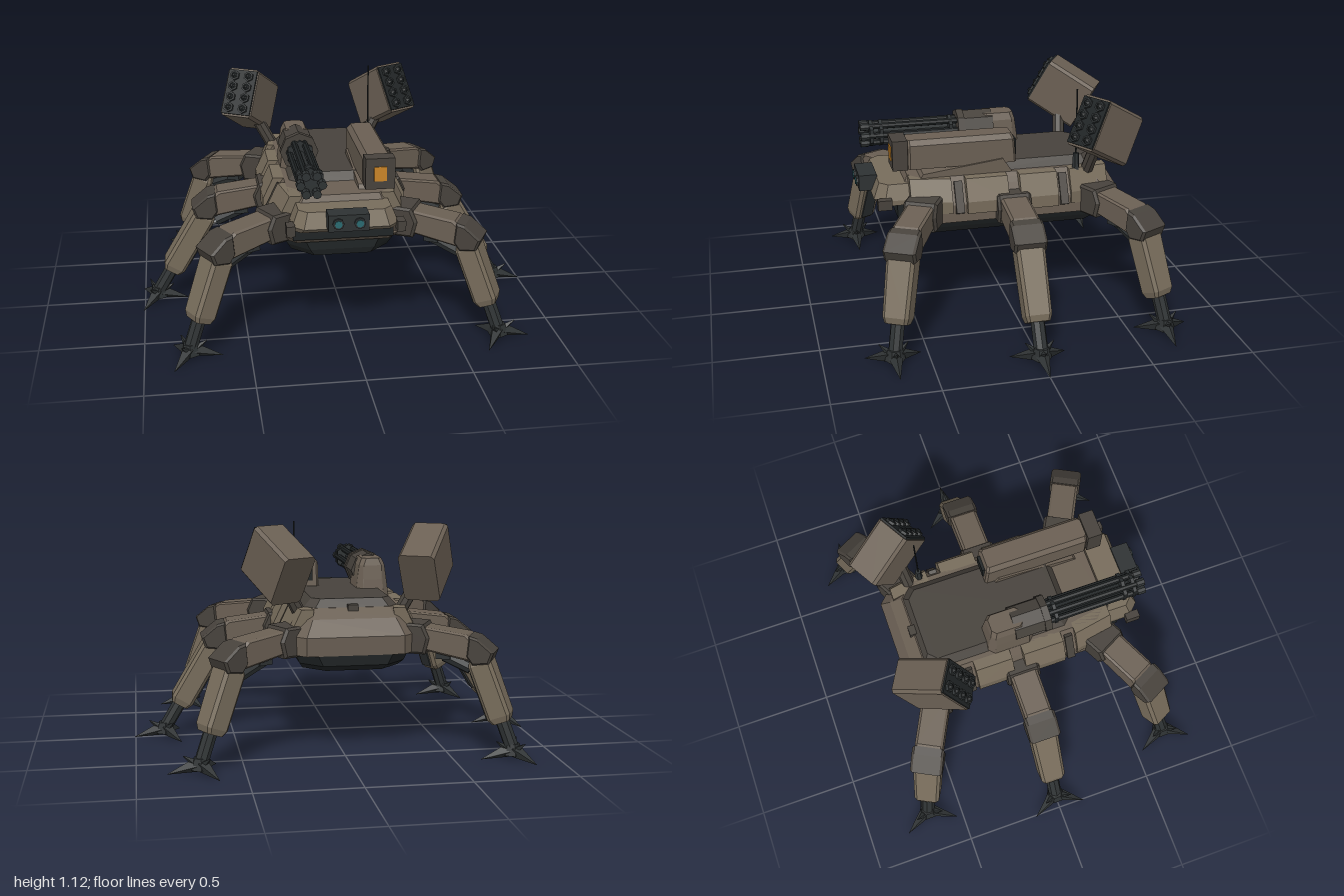
import * as THREE from 'three';
import { ConvexGeometry } from 'three/addons/geometries/ConvexGeometry.js';

const material = (color) => new THREE.MeshStandardMaterial({ color, flatShading: true, side: THREE.DoubleSide });
const brown = material(0x6a5f53), tan = material(0x776c5b), umber = material(0x47423c), dark = material(0x2e3233);
const black = material(0x202425), steel = material(0x8a8c8c), orange = material(0xc98528), teal = material(0x2a6a70);
const V = (x, y, z) => new THREE.Vector3(x, y, z);

function add(parent, name, geometry, mat, x = 0, y = 0, z = 0) {
  const mesh = new THREE.Mesh(geometry, mat);
  mesh.name = name;
  mesh.position.set(x, y, z);
  parent.add(mesh);
  return mesh;
}

function group(parent, name, x = 0, y = 0, z = 0) {
  const g = new THREE.Group();
  g.name = name;
  g.position.set(x, y, z);
  parent.add(g);
  return g;
}

// Solid through chamfered rectangles; level = [y, halfWidth, zFront, zBack, chamfer]
function loft(levels) {
  const points = [];
  for (const [y, w, f, b, c] of levels)
    for (const s of [-1, 1])
      points.push(V(s * (w - c), y, f), V(s * w, y, f - c), V(s * w, y, b + c), V(s * (w - c), y, b));
  return new ConvexGeometry(points);
}

// Convex side profile in x-y, given a width along z and narrowed edges
function slab(profile, halfZ, inset = 0.012) {
  const cx = profile.reduce((t, p) => t + p[0], 0) / profile.length;
  const cy = profile.reduce((t, p) => t + p[1], 0) / profile.length;
  const points = [];
  for (const [x, y] of profile)
    for (const s of [-1, 1]) {
      points.push(V(x, y, s * (halfZ - inset)));
      points.push(V(x + (cx - x) * 0.15, y + (cy - y) * 0.15, s * halfZ));
    }
  return new ConvexGeometry(points);
}

const box = (w, h, d) => new THREE.BoxGeometry(w, h, d);

// Rod between two points, optionally tapered
function rod(parent, name, a, b, r, mat, sides = 8, rEnd = r) {
  const mesh = add(parent, name, new THREE.CylinderGeometry(rEnd, r, a.distanceTo(b), sides), mat);
  mesh.position.copy(a).lerp(b, 0.5);
  mesh.quaternion.setFromUnitVectors(V(0, 1, 0), b.clone().sub(a).normalize());
  return mesh;
}

function buildHull(root) {
  const hull = group(root, 'hull');
  add(hull, 'upperHull', loft([[0.51, 0.325, 0.53, -0.56, 0.09], [0.6, 0.325, 0.53, -0.565, 0.09], [0.68, 0.28, 0.52, -0.52, 0.08], [0.725, 0.25, 0.5, -0.46, 0.07]]), brown);
  add(hull, 'lowerHull', loft([[0.428, 0.235, 0.52, -0.5, 0.1], [0.46, 0.255, 0.53, -0.55, 0.1], [0.515, 0.28, 0.53, -0.555, 0.1]]), black);
  add(hull, 'deckPlate', loft([[0.715, 0.235, 0.32, -0.46, 0.05], [0.765, 0.19, 0.28, -0.43, 0.04]]), umber);
  add(hull, 'bellySensor', new THREE.CylinderGeometry(0.055, 0.055, 0.04, 10), dark, 0, 0.415, 0);
  add(hull, 'rearHatch', box(0.05, 0.03, 0.04), umber, 0, 0.725, -0.46);

  // Side armour panels [zFront, zBack, x at front, x at back] and the ribs between them
  for (const s of [-1, 1]) {
    for (const [a, b, xa, xb] of [[0.5, 0.3, 0.3, 0.335], [0.23, 0.02, 0.353, 0.353], [-0.04, -0.23, 0.353, 0.353], [-0.3, -0.5, 0.335, 0.3]]) {
      const points = [];
      for (const [dx, y] of [[-0.08, 0.56], [0, 0.56], [0, 0.62], [-0.05, 0.725], [-0.11, 0.725]])
        points.push(V(s * (xa + dx), y, a), V(s * (xb + dx), y, b));
      add(hull, 'sidePanel', new ConvexGeometry(points), tan);
    }
    for (const z of [0.265, -0.265]) {
      const rib = add(hull, 'sideRib', box(0.04, 0.16, 0.04), umber, s * 0.3, 0.63, z);
      rib.rotation.z = s * 0.45;
    }
  }

  // Nose with slot, bumper, lamps and twin camera box
  add(hull, 'nose', loft([[0.595, 0.25, 0.64, 0.4, 0.04], [0.62, 0.25, 0.67, 0.4, 0.05], [0.695, 0.22, 0.64, 0.4, 0.04]]), tan);
  add(hull, 'noseSlot', box(0.48, 0.07, 0.1), black, 0, 0.56, 0.51);
  add(hull, 'bumper', loft([[0.505, 0.28, 0.54, 0.4, 0.06], [0.53, 0.29, 0.56, 0.4, 0.06]]), brown);
  for (const s of [-1, 1]) add(hull, 'sideLamp', box(0.04, 0.05, 0.07), umber, s * 0.26, 0.61, 0.625);
  add(hull, 'cameraBox', box(0.19, 0.08, 0.09), dark, 0, 0.667, 0.683);
  for (const s of [-1, 1]) {
    rod(hull, 'cameraBarrel', V(s * 0.05, 0.667, 0.7), V(s * 0.05, 0.667, 0.738), 0.027, dark, 8);
    rod(hull, 'cameraLens', V(s * 0.05, 0.667, 0.737), V(s * 0.05, 0.667, 0.742), 0.018, teal, 8);
  }
}

function buildRotaryGun(root) {
  const gun = group(root, 'rotaryGun', -0.165, 0.84, 0);
  add(gun, 'gunMount', loft([[-0.12, 0.085, 0.1, -0.14, 0.03], [-0.03, 0.075, 0.1, -0.13, 0.03], [0.04, 0.065, 0.07, -0.12, 0.02], [0.075, 0.05, 0.05, -0.11, 0.02]]), brown);
  rod(gun, 'gunDrum', V(0, 0, 0), V(0, 0, 0.15), 0.088, umber, 8);
  rod(gun, 'drumCollar', V(0, 0, 0.15), V(0, 0, 0.185), 0.095, umber, 8);
  rod(gun, 'spindle', V(0, 0, 0.15), V(0, 0, 0.64), 0.02, dark, 6);
  for (let i = 0; i < 6; i++) {
    const a = i * Math.PI / 3, x = Math.cos(a) * 0.05, y = Math.sin(a) * 0.05;
    rod(gun, 'barrel', V(x, y, 0.15), V(x, y, 0.665), 0.016, black);
    rod(gun, 'muzzle', V(x, y, 0.645), V(x, y, 0.685), 0.021, dark);
  }
  for (const z of [0.21, 0.57, 0.62]) rod(gun, 'barrelClamp', V(0, 0, z), V(0, 0, z + 0.018), 0.07, dark, 6);
}

function buildSensorPod(root) {
  const pod = group(root, 'sensorPod', 0.17, 0, 0);
  const wedge = [];
  for (const x of [-0.08, 0.08]) wedge.push(V(x, 0.7, 0.46), V(x, 0.745, 0.43), V(x, 0.795, 0.03), V(x, 0.72, -0.02));
  add(pod, 'podBase', new ConvexGeometry(wedge), brown);
  add(pod, 'podBody', loft([[0.77, 0.07, 0.5, -0.04, 0.01], [0.89, 0.07, 0.5, -0.03, 0.01], [0.915, 0.05, 0.5, -0.02, 0.01]]), brown);
  add(pod, 'podRearPanel', box(0.08, 0.08, 0.02), black, 0, 0.84, -0.035);
  add(pod, 'podHead', box(0.14, 0.15, 0.075), umber, 0, 0.845, 0.54);
  add(pod, 'podWindow', box(0.06, 0.07, 0.012), orange, 0, 0.845, 0.577);
}

function buildLauncher(root, s) {
  const launcher = group(root, 'missileLauncher', s * 0.36, 0.94, -0.455);
  launcher.rotation.set(-0.51, s * 0.52, 0, 'YXZ');
  const halfW = 0.088, halfH = 0.13, c = 0.015, points = [];
  for (const z of [-0.142, 0.132])
    for (const sx of [-1, 1])
      for (const sy of [-1, 1]) points.push(V(sx * (halfW - c), sy * halfH, z), V(sx * halfW, sy * (halfH - c), z));
  add(launcher, 'launcherCase', new ConvexGeometry(points), brown);
  add(launcher, 'launcherFace', box(0.162, 0.24, 0.016), black, 0, 0, 0.134);
  for (const x of [-0.04, 0.04])
    for (const y of [-0.087, -0.029, 0.029, 0.087]) {
      rod(launcher, 'launchTube', V(x, y, 0.13), V(x, y, 0.155), 0.027, dark, 6);
      rod(launcher, 'missileTip', V(x, y, 0.155), V(x, y, 0.165), 0.018, black, 6, 0.006);
    }
  rod(root, 'launcherPost', V(s * 0.25, 0.7, -0.4), V(s * 0.33, 0.85, -0.42), 0.032, umber);
}

// Leg reaches out along its local x axis from the hip
function buildLeg(root, x, z, yaw, hipInner, shinTilt) {
  const leg = group(root, 'leg', x, 0, z);
  leg.rotation.y = yaw;
  add(leg, 'hip', slab([[hipInner, 0.65], [0.03, 0.645], [0.06, 0.58], [0.04, 0.5], [hipInner, 0.5]], 0.085), umber);
  add(leg, 'upperArm', slab([[0, 0.635], [0.24, 0.605], [0.29, 0.56], [0.26, 0.475], [0.02, 0.52]], 0.07), brown);
  add(leg, 'knee', slab([[0.25, 0.6], [0.29, 0.59], [0.37, 0.525], [0.35, 0.47], [0.27, 0.46], [0.24, 0.5]], 0.08), umber);
  const shin = group(leg, 'shin', 0.28, 0.52, 0);
  shin.rotation.z = shinTilt;
  const length = 0.47 / Math.cos(shinTilt), end = 0.145 - length;
  add(shin, 'shinArmour', loft([[end, 0.042, 0.055, -0.055, 0.012], [end + 0.03, 0.057, 0.064, -0.064, 0.015], [-0.06, 0.057, 0.07, -0.07, 0.015], [-0.03, 0.045, 0.055, -0.055, 0.012]]), tan);
  add(shin, 'shinBackPlate', box(0.02, 0.24, 0.07), dark, -0.055, -0.21, 0);
  rod(shin, 'ankle', V(0, -0.3, 0), V(0, -length, 0), 0.034, dark);
  // Knee actuator
  add(leg, 'actuatorBracket', box(0.07, 0.05, 0.08), dark, 0.12, 0.5, 0);
  rod(leg, 'actuatorSleeve', V(0.12, 0.49, 0), V(0.25, 0.435, 0), 0.033, dark);
  for (const s of [-1, 1]) rod(leg, 'actuatorRod', V(0.22, 0.445, s * 0.02), V(0.33, 0.395, s * 0.02), 0.011, steel, 6);
}

function buildFoot(root, x, z) {
  const foot = group(root, 'foot', x, 0, z);
  add(foot, 'footHub', new THREE.CylinderGeometry(0.035, 0.05, 0.055, 6), dark, 0, 0.052, 0);
  for (let i = 0; i < 3; i++) {
    const a = i * Math.PI * 2 / 3;
    const at = (r, y) => V(Math.cos(a) * r, y, Math.sin(a) * r);
    rod(foot, 'claw', at(0.02, 0.045), at(0.155, 0.006), 0.034, dark, 4, 0.001);
    rod(foot, 'clawGuard', at(0.03, 0.055), at(0.08, 0.09), 0.018, dark, 4, 0.002);
  }
}

export function createModel() {
  const model = new THREE.Group();
  model.name = 'sixLeggedWalker';
  const root = group(model, 'walker', -0.04, 0, 0);

  buildHull(root);
  buildRotaryGun(root);
  buildSensorPod(root);
  rod(root, 'antenna', V(0.265, 0.72, -0.34), V(0.265, 1.13, -0.34), 0.004, black, 5);
  add(root, 'antennaBase', new THREE.CylinderGeometry(0.015, 0.02, 0.1, 6), dark, 0.265, 0.75, -0.34);

  // Launchers and three legs on each side; corner legs stand steeper
  for (const s of [-1, 1]) {
    buildLauncher(root, s);
    for (const row of [-1, 0, 1]) {
      const reach = row ? 0.46 : 0.56, splay = row * 0.48;
      const dx = s * Math.cos(splay), dz = Math.sin(splay);
      const hipX = s * (row ? 0.337 : 0.33), hipZ = row * 0.455;
      buildLeg(root, hipX, hipZ, Math.atan2(-dz, dx), row ? -0.14 : -0.06, Math.atan((reach - 0.28) / 0.47));
      buildFoot(root, hipX + dx * reach, hipZ + dz * reach);
    }
  }
  return model;
}
